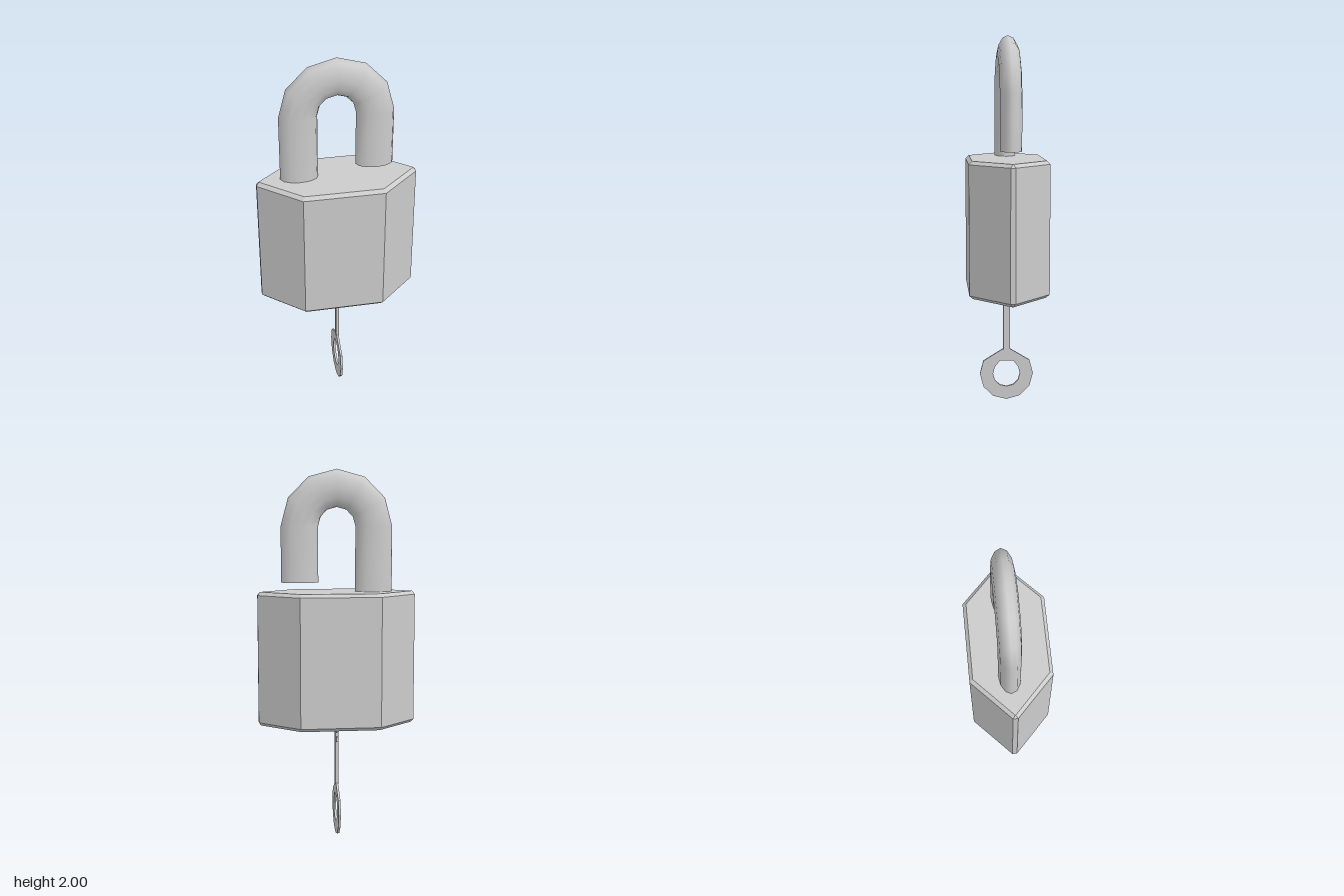
import * as THREE from 'three';
import { ConvexGeometry } from 'three/addons/geometries/ConvexGeometry.js';

const material = new THREE.MeshStandardMaterial({ color: 0xcccccc });

function addMesh(parent, name, geometry, mat = material) {
  const mesh = new THREE.Mesh(geometry, mat);
  mesh.name = name;
  parent.add(mesh);
  return mesh;
}

// Six-sided lock body with chamfered rims and blunted side points
function bodyGeometry() {
  const points = [];
  const level = (y, tipX, tipZ, cornerX, cornerZ) => {
    for (const sx of [-1, 1]) for (const sz of [-1, 1]) {
      points.push(new THREE.Vector3(sx * cornerX, y, sz * cornerZ));
      points.push(new THREE.Vector3(sx * tipX, y, sz * tipZ));
    }
  };
  level(0.622, 0.414, 0.001, 0.207, 0.195);
  level(0.64, 0.427, 0.013, 0.215, 0.213);
  level(1.332, 0.427, 0.013, 0.215, 0.213);
  level(1.35, 0.414, 0.001, 0.207, 0.195);
  return new ConvexGeometry(points);
}

// U-shaped bar of oval section, one leg longer than the other
const SIDES = 12, BAR_X = 0.1, BAR_Z = 0.058, SHACKLE_Z = -0.008;

function shackleGeometry() {
  const stations = [[-0.2, 1.33, Math.PI]];
  for (let i = 0; i <= 6; i++) {
    const a = Math.PI * (1 - i / 6);
    stations.push([0.2 * Math.cos(a), 1.7 + 0.2 * Math.sin(a), a]);
  }
  stations.push([0.2, 1.4, 0]);

  const positions = [], index = [];
  stations.forEach(([x, y, a], i) => {
    for (let j = 0; j < SIDES; j++) {
      const t = (j / SIDES) * Math.PI * 2, r = BAR_X * Math.cos(t);
      positions.push(x + r * Math.cos(a), y + r * Math.sin(a), SHACKLE_Z + BAR_Z * Math.sin(t));
      if (i === 0) continue;
      const k = (j + 1) % SIDES, lo = (i - 1) * SIDES, hi = i * SIDES;
      index.push(lo + j, lo + k, hi + k, lo + j, hi + k, hi + j);
    }
  });
  const geometry = new THREE.BufferGeometry();
  geometry.setAttribute('position', new THREE.Float32BufferAttribute(positions, 3));
  geometry.setIndex(index);
  geometry.computeVertexNormals();
  return geometry;
}

// Flat key bow: twelve-sided ring drawn out into a neck, lying in the yz plane
function bowGeometry() {
  const polar = (r, i) => {
    const a = (i / 12) * Math.PI * 2;
    return new THREE.Vector2(r * Math.cos(a), 0.148 + r * Math.sin(a));
  };
  const outline = [new THREE.Vector2(0.018, 0.29), new THREE.Vector2(-0.018, 0.29)];
  for (let i = 5; i <= 13; i++) outline.push(polar(0.148, i));
  const hole = [new THREE.Vector2(0.037, 0.222), new THREE.Vector2(-0.037, 0.222)];
  for (let i = 5; i <= 13; i++) hole.push(polar(0.075, i));

  const shape = new THREE.Shape(outline);
  shape.holes.push(new THREE.Path(hole));
  return new THREE.ExtrudeGeometry(shape, { depth: 0.012, bevelEnabled: false })
    .translate(0, 0, -0.006)
    .rotateY(-Math.PI / 2);
}

export function createModel() {
  const model = new THREE.Group();
  model.name = 'padlock';

  addMesh(model, 'body', bodyGeometry());

  const shackle = new THREE.Group();
  shackle.name = 'shackle';
  model.add(shackle);
  addMesh(shackle, 'shackleBar', shackleGeometry());
  const cap = new THREE.CircleGeometry(1, SIDES).rotateX(Math.PI / 2).scale(BAR_X, 1, BAR_Z);
  addMesh(shackle, 'shackleEnd', cap).position.set(0.2, 1.4, SHACKLE_Z);

  const key = new THREE.Group();
  key.name = 'key';
  model.add(key);
  addMesh(key, 'keyBow', bowGeometry());
  addMesh(key, 'keyShaft', new THREE.BoxGeometry(0.018, 0.345, 0.036)).position.y = 0.4575;
  for (const [y, h] of [[0.589, 0.022], [0.54, 0.028]]) {
    addMesh(key, 'keyTooth', new THREE.BoxGeometry(0.012, h, 0.03)).position.set(0, y, -0.025);
  }
  return model;
}
